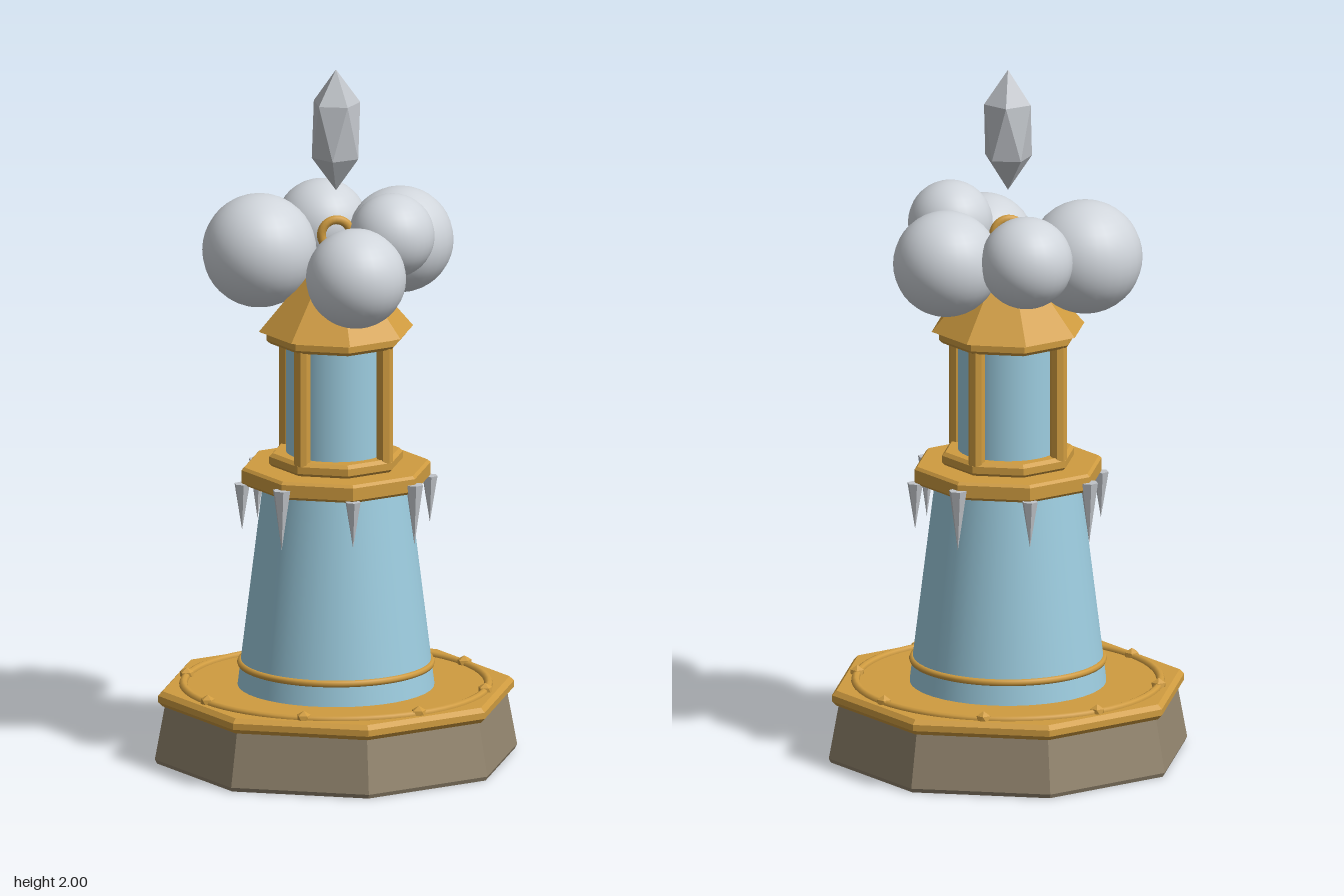
import * as THREE from 'three';
import { toCreasedNormals } from 'three/addons/utils/BufferGeometryUtils.js';

const paint = (name, color) => Object.assign(new THREE.MeshStandardMaterial({ color }), { name });

export function createModel() {
  const model = new THREE.Group();
  const gold = paint('gold', 0xd09c40);
  const stone = paint('stone', 0x94866f);
  const blue = paint('pale blue', 0x9dcde0);
  const cloudGrey = paint('cloud grey', 0xd0d5db);
  const silver = paint('silver', 0xc0c4c9);

  const add = (name, geometry, material, x = 0, y = 0, z = 0) => {
    const mesh = new THREE.Mesh(geometry, material);
    mesh.name = name;
    mesh.position.set(x, y, z);
    model.add(mesh);
    return mesh;
  };
  // flat-sided solid with eight corners, two of them on each axis
  const octagon = (profile) =>
    toCreasedNormals(new THREE.LatheGeometry(profile.map(([r, y]) => new THREE.Vector2(r, y)), 8), 0.2);
  // octagonal slab with bevelled rims
  const slab = (r, y0, y1, b) => octagon([
    [0, y0], [r - b, y0], [r, y0 + b], [r, y1 - b], [r - b, y1], [0, y1],
  ]);
  // faceted gem with a point straight up
  const gem = (r, halfHeight) => {
    const g = new THREE.IcosahedronGeometry(1, 0);
    g.rotateZ(-Math.atan(2 / (1 + Math.sqrt(5))));
    g.scale(r, halfHeight, r);
    g.computeVertexNormals();
    return g;
  };
  const flatRing = (r, tube) => new THREE.TorusGeometry(r, tube, 8, 64).rotateX(Math.PI / 2);

  // pedestal
  add('pedestal', octagon([[0, 0], [0.515, 0], [0.521, 0.012], [0.492, 0.168], [0, 0.168]]), stone);
  add('pedestalTop', slab(0.512, 0.166, 0.21, 0.013), gold);
  add('pedestalRing', flatRing(0.432, 0.012), gold, 0, 0.21, 0);
  for (let i = 0; i < 8; i++) {
    const a = (i + 0.5) * Math.PI / 4;
    add('stud', gem(0.023, 0.023), gold, 0.432 * Math.sin(a), 0.212, 0.432 * Math.cos(a));
  }

  // tower
  add('tower', new THREE.CylinderGeometry(0.205, 0.28, 0.61, 40), blue, 0, 0.505, 0);
  add('towerBand', flatRing(0.27, 0.01), gold, 0, 0.275, 0);

  // gallery with hanging icicles, longer on the diagonals
  add('gallery', slab(0.272, 0.8, 0.852, 0.008), gold);
  add('lanternFloor', slab(0.192, 0.85, 0.89, 0.01), gold);
  for (let i = 0; i < 8; i++) {
    const a = i * Math.PI / 4;
    const long = i % 2 === 1;
    const length = long ? 0.176 : 0.135;
    const cone = toCreasedNormals(new THREE.ConeGeometry(long ? 0.026 : 0.023, length, 6).rotateX(Math.PI), 0.2);
    add('icicle', cone, silver, 0.27 * Math.sin(a), (long ? 0.828 : 0.805) - length / 2, 0.27 * Math.cos(a));
  }

  // lantern room
  add('lanternGlass', new THREE.CylinderGeometry(0.142, 0.142, 0.33, 32), blue, 0, 1.05, 0);
  for (const x of [-1, 1]) for (const z of [-1, 1]) {
    const post = toCreasedNormals(new THREE.CylinderGeometry(0.024, 0.024, 0.34, 8).rotateY(Math.PI / 8), 0.2);
    add('lanternPost', post, gold, x * 0.119, 1.05, z * 0.119);
  }
  add('lanternCap', slab(0.2, 1.21, 1.248, 0.01), gold);
  add('roof', octagon([[0, 1.245], [0.222, 1.245], [0.03, 1.47], [0, 1.47]]), gold);
  add('roofRing', new THREE.TorusGeometry(0.042, 0.013, 8, 24), gold, 0, 1.52, 0);

  // clouds around the roof: x, y, z, radius
  for (const [x, y, z, r] of [
    [-0.205, 1.462, -0.084, 0.162], [0, 1.494, -0.228, 0.131], [0.204, 1.472, -0.105, 0.151],
    [0.02, 1.44, 0.207, 0.142], [0.143, 1.535, 0.104, 0.12],
  ]) add('cloud', new THREE.SphereGeometry(r, 28, 20), cloudGrey, x, y, z);

  // floating crystal
  add('crystal', gem(0.078, 0.176), silver, 0, 1.824, 0);

  return model;
}
